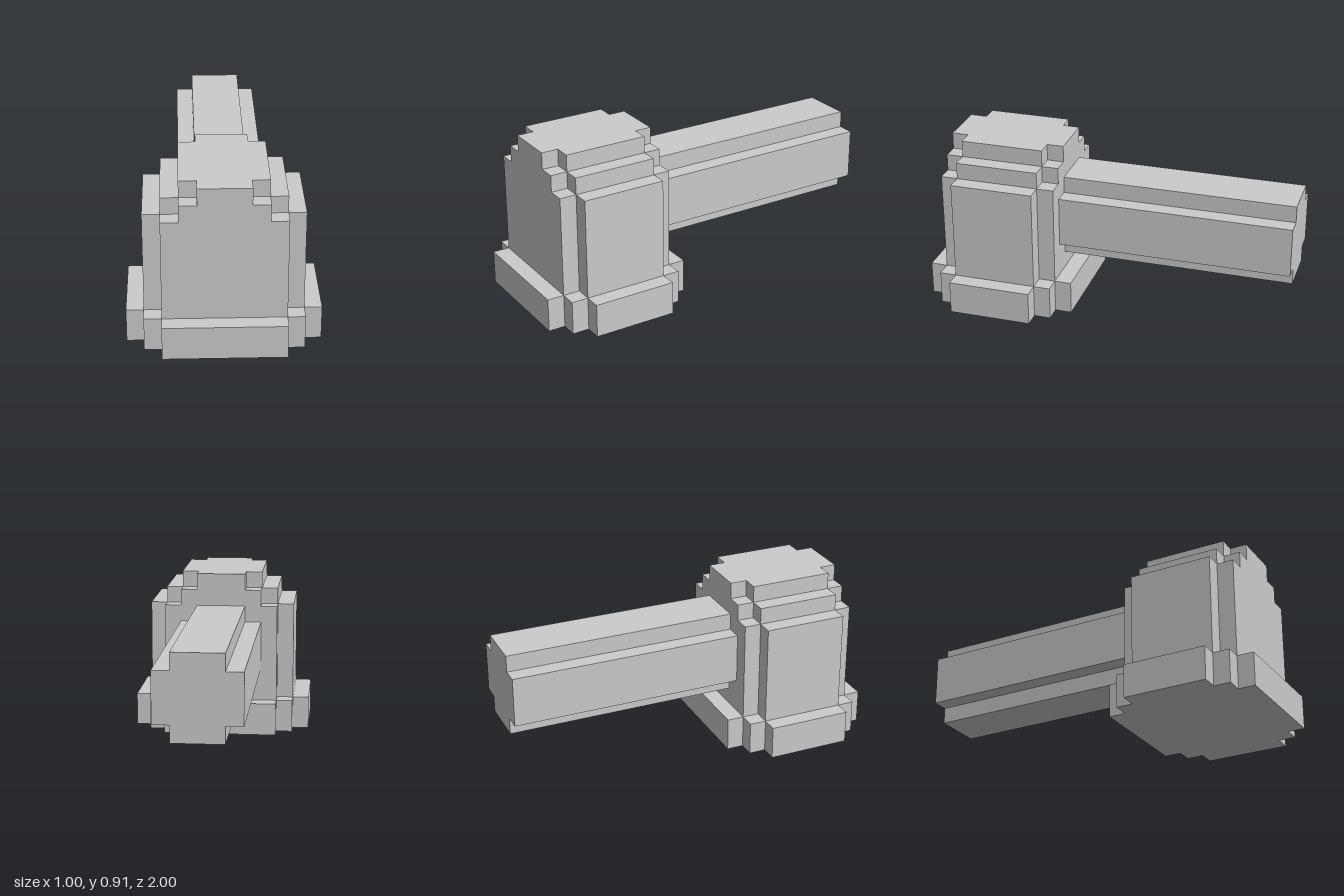
import * as THREE from 'three';

const U = 1 / 11; // one block of the grid

const material = new THREE.MeshStandardMaterial({ color: 0xcccccc, flatShading: true });

// Rectangle outline whose four corners are cut back in one-block stairs
function steppedShape(halfW, halfH, steps) {
  const corner = [[halfW, halfH - steps]];
  for (let i = 1; i <= steps; i++) {
    corner.push([halfW - i, halfH - steps + i - 1], [halfW - i, halfH - steps + i]);
  }
  const reversed = [...corner].reverse();
  const points = [
    ...corner,
    ...reversed.map(([x, y]) => [-x, y]),
    ...corner.map(([x, y]) => [-x, -y]),
    ...reversed.map(([x, y]) => [x, -y]),
  ];
  return new THREE.Shape(points.map(([x, y]) => new THREE.Vector2(x * U, y * U)));
}

function prism(name, halfW, halfH, steps, length) {
  const geometry = new THREE.ExtrudeGeometry(steppedShape(halfW, halfH, steps), {
    depth: length * U,
    bevelEnabled: false,
  });
  const mesh = new THREE.Mesh(geometry, material);
  mesh.name = name;
  return mesh;
}

export function createModel() {
  const model = new THREE.Group();
  model.name = 'mallet';

  // Head: upright stack of stepped slabs
  const head = new THREE.Group();
  head.name = 'head';
  const slabs = [
    // name, half width, half depth, corner steps, bottom, height
    ['baseFlange', 5.5, 4.5, 2, 0, 2],
    ['headBody', 4.5, 3.5, 1, 2, 6],
    ['shoulder', 3.5, 3.5, 1, 8, 1],
    ['crown', 2.5, 3.5, 1, 9, 1],
  ];
  for (const [name, halfW, halfD, steps, bottom, height] of slabs) {
    const slab = prism(name, halfW, halfD, steps, height);
    slab.geometry.rotateX(-Math.PI / 2);
    slab.position.y = bottom * U;
    head.add(slab);
  }
  head.position.z = 6.5 * U;
  model.add(head);

  // Handle: notched bar running back from the head
  const handle = prism('handle', 2.5, 2.5, 1, 14);
  handle.position.set(0, 5.5 * U, -11 * U);
  model.add(handle);

  return model;
}
